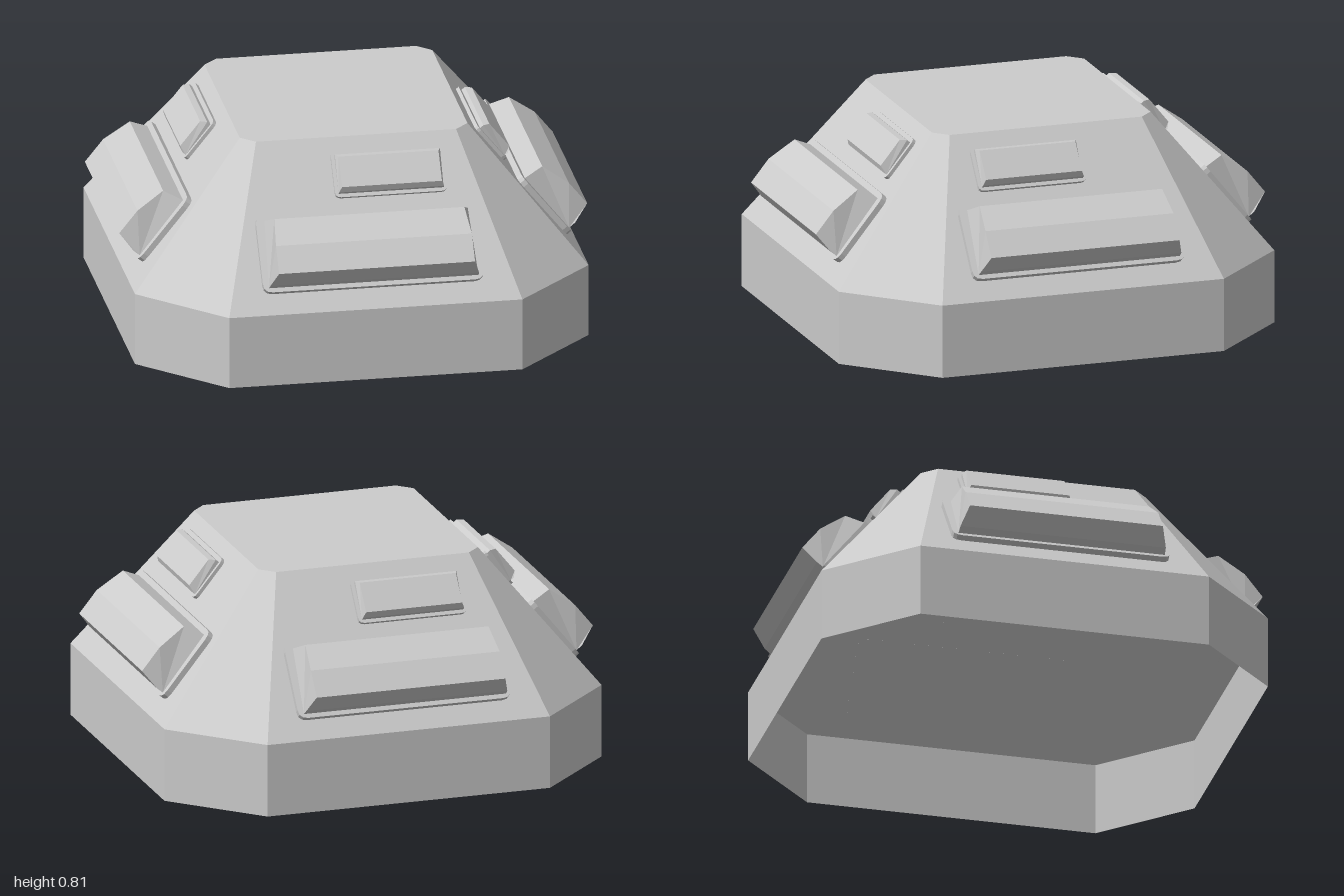
import * as THREE from 'three';

const material = new THREE.MeshStandardMaterial({ color: 0xcccccc, flatShading: true });
const shellMaterial = new THREE.MeshStandardMaterial({ color: 0xcccccc, flatShading: true, side: THREE.DoubleSide });

function meshFrom(points, name, mat) {
  const geometry = new THREE.BufferGeometry().setFromPoints(points);
  geometry.computeVertexNormals();
  const mesh = new THREE.Mesh(geometry, mat);
  mesh.name = name;
  return mesh;
}

// Octagon with four points pairs lying on the x and z axes sides
function octagon(y, reach, half) {
  return [
    [reach, -half], [reach, half], [half, reach], [-half, reach],
    [-reach, half], [-reach, -half], [-half, -reach], [half, -reach],
  ].map(([x, z]) => new THREE.Vector3(x, y, z));
}

// Open-bottomed hull: vertical skirt, sloped sides and flat roof
function createHull() {
  const rings = [octagon(0, 1, 0.215), octagon(0.28, 1, 0.215), octagon(0.81, 0.573, 0.037)];
  const roofCentre = new THREE.Vector3(0, 0.81, 0);
  const points = [];
  for (let i = 0; i < 8; i++) {
    const j = (i + 1) % 8;
    for (let r = 0; r < 2; r++) {
      const [lo, hi] = [rings[r], rings[r + 1]];
      points.push(lo[i], hi[i], hi[j], lo[i], hi[j], lo[j]);
    }
    points.push(roofCentre, rings[2][j], rings[2][i]);
  }
  return meshFrom(points, 'hull', shellMaterial);
}

// Thin backing plate with rounded corners, from s0 to s1 up the slope
function createPlate(name, half, s0, s1, depth, r) {
  const s = new THREE.Shape();
  s.moveTo(-half + r, s0);
  s.lineTo(half - r, s0);
  s.quadraticCurveTo(half, s0, half, s0 + r);
  s.lineTo(half, s1 - r);
  s.quadraticCurveTo(half, s1, half - r, s1);
  s.lineTo(-half + r, s1);
  s.quadraticCurveTo(-half, s1, -half, s1 - r);
  s.lineTo(-half, s0 + r);
  s.quadraticCurveTo(-half, s0, -half + r, s0);
  const geometry = new THREE.ExtrudeGeometry(s, { depth, bevelEnabled: false, curveSegments: 3 });
  const mesh = new THREE.Mesh(geometry, material);
  mesh.name = name;
  return mesh;
}

// Raised block: profile entries are [along slope, out from slope, half length]
function createBlock(name, profile) {
  const left = profile.map(([s, n, t]) => new THREE.Vector3(-t, s, n));
  const right = profile.map(([s, n, t]) => new THREE.Vector3(t, s, n));
  const points = [];
  for (let i = 0; i < profile.length - 1; i++) {
    const j = i + 1;
    points.push(left[i], right[i], right[j], left[i], right[j], left[j]);
    if (i > 0) points.push(right[0], right[j], right[i], left[0], left[i], left[j]);
  }
  return meshFrom(points, name, material);
}

// One set of panels, in a frame with y up the slope and z out of it
function createPanels(side) {
  const panels = new THREE.Group();
  panels.name = 'slopePanels';

  const large = new THREE.Group();
  large.name = 'largePanel';
  large.add(
    createPlate('largePlate', 0.418, 0.083, 0.387, 0.022, 0.035),
    createBlock('largeBlock', [
      [0.1, 0.022, 0.397], [0.1, 0.052, 0.395], [0.119, 0.131, 0.371],
      [0.229, 0.131, 0.371], [0.345, 0.0975, 0.36], [0.364, 0.022, 0.385],
    ]),
  );

  const small = new THREE.Group();
  small.name = 'smallPanel';
  small.position.x = side * 0.106;
  small.add(
    createPlate('smallPlate', 0.212, 0.439, 0.62, 0.014, 0.022),
    createBlock('smallBlock', [
      [0.453, 0.014, 0.199], [0.453, 0.03, 0.199], [0.467, 0.05, 0.189],
      [0.587, 0.05, 0.189], [0.602, 0.03, 0.199], [0.602, 0.014, 0.199],
    ]),
  );

  panels.add(large, small);
  return panels;
}

export function createModel() {
  const model = new THREE.Group();
  model.name = 'armouredBase';
  model.add(createHull());

  // Panels on the four diagonal slopes, mirrored in x and z
  const up = new THREE.Vector3(0, 1, 0);
  const foot = 0.859, rise = 0.53, run = 0.428;
  const length = Math.hypot(rise, run);
  for (const sx of [-1, 1]) {
    for (const sz of [-1, 1]) {
      const out = new THREE.Vector3(sx, 0, sz).normalize();
      const slope = out.clone().multiplyScalar(-run / length).addScaledVector(up, rise / length);
      const normal = out.clone().multiplyScalar(rise / length).addScaledVector(up, run / length);
      const along = slope.clone().cross(normal);
      const panels = createPanels(sx * sz);
      panels.quaternion.setFromRotationMatrix(new THREE.Matrix4().makeBasis(along, slope, normal));
      panels.position.copy(out).multiplyScalar(foot).setY(0.28);
      model.add(panels);
    }
  }
  return model;
}
